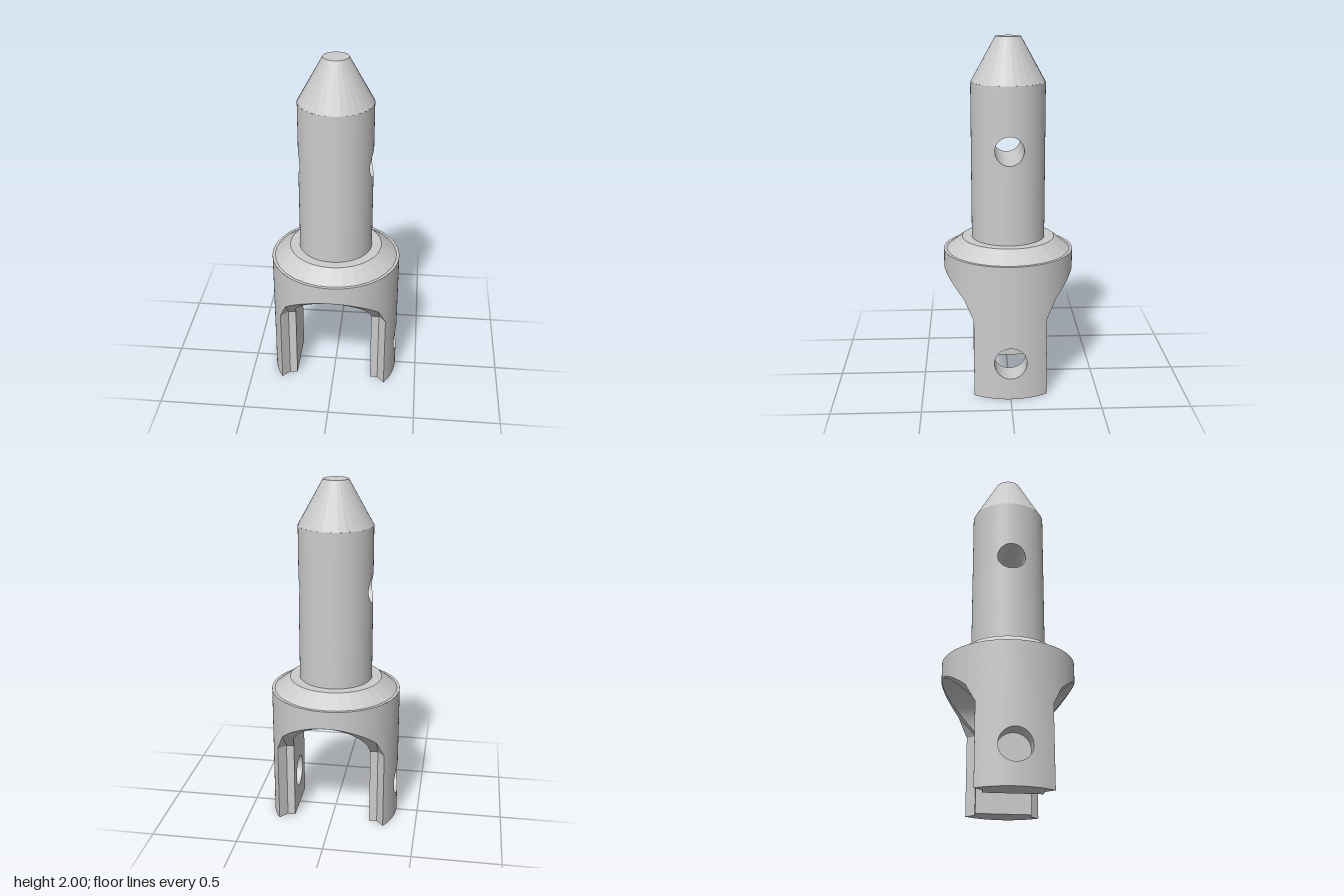
import * as THREE from 'three';
import { toCreasedNormals } from 'three/addons/utils/BufferGeometryUtils.js';

const R = 0.373, BODY_TOP = 0.79;            // fork body
const SLOT = 0.225, SPRING = 0.46;           // arched slot half width, arch start
const POCKET_Z = 0.157, FOLD = 0.27, EDGE = 0.311; // relief pockets beside the slot
const PIN = { y: 0.217, r: 0.092 };
const SHAFT_R = 0.21, SHAFT_LOW = 0.86, SHAFT_TOP = 1.75;
const CROSS = { y: 1.395, r: 0.081 };

const mix = (a, b, t) => a + (b - a) * t;
const round = (radius, v) => Math.sqrt(Math.max(0, radius * radius - v * v));
const archY = (x) => (x < SLOT ? SPRING + round(SLOT, x) : SPRING);
const pocketZ = (x, y) =>
  POCKET_Z + 0.95 * Math.max(0, y - SPRING) + 1.2 * Math.max(0, x - FOLD);
// Height at which the pocket breaks out through the round wall
const rimY = (x) =>
  Math.max(archY(x), SPRING + (round(R, x) - pocketZ(x, 0)) / 0.95);

// Collects ruled strips described for the +x +z quarter, mirrored to all four
function quarters(build) {
  const pos = [];
  for (const sx of [1, -1]) for (const sz of [1, -1]) {
    const put = (...pts) => pts.forEach((p) => pos.push(p[0] * sx, p[1], p[2] * sz));
    const strip = (n, a, b) => {
      for (let i = 0; i < n; i++) {
        const a0 = a(i / n), a1 = a((i + 1) / n), b0 = b(i / n), b1 = b((i + 1) / n);
        if (sx * sz > 0) put(a0, a1, b1, a0, b1, b0);
        else put(a0, b1, a1, a0, b0, b1);
      }
    };
    build(strip, sx);
  }
  const g = new THREE.BufferGeometry();
  g.setAttribute('position', new THREE.Float32BufferAttribute(pos, 3));
  return toCreasedNormals(g, 0.45);
}

// Upright wall with a half hole at z = 0; at(z) gives x
function piercedWall(strip, at, low, high, hole) {
  const z = (t) => hole.r * Math.cos(t * Math.PI / 2);
  const h = (t) => hole.r * Math.sin(t * Math.PI / 2);
  const p = (t, y) => [at(z(t)), y, z(t)];
  return {
    below: (t) => p(t, low), holeLow: (t) => p(t, hole.y - h(t)),
    holeHigh: (t) => p(t, hole.y + h(t)), above: (t) => p(t, high),
  };
}

// Round wall from angle start to the x axis, with a hole facing x
function roundWall(strip, radius, start, low, high, hole) {
  const end = Math.acos(hole.r / radius);
  const p = (t, y) => {
    const a = mix(start, end, t);
    return [radius * Math.sin(a), y, radius * Math.cos(a)];
  };
  strip(16, (t) => p(t, low), (t) => p(t, high));
  const w = piercedWall(strip, (z) => round(radius, z), low, high, hole);
  strip(12, w.below, w.holeLow);
  strip(12, w.holeHigh, w.above);
}

// Inside of a cross hole from x = from out to the round wall
function bore(strip, radius, hole, from) {
  const p = (t, x) => {
    const a = (t - 0.5) * Math.PI, z = hole.r * Math.cos(a);
    return [x ?? round(radius, z), hole.y + hole.r * Math.sin(a), z];
  };
  strip(24, (t) => p(t, from), (t) => p(t));
}

function buildFork(strip, sx) {
  // Round outside above the slot and pocket rim, then the arm
  [[0, 0.1], [0.1, SLOT], [SLOT, FOLD], [FOLD, EDGE]].forEach(([x0, x1]) => {
    const p = (t, y) => { const x = mix(x0, x1, t); return [x, y(x), round(R, x)]; };
    strip(8, (t) => p(t, rimY), (t) => p(t, () => BODY_TOP));
  });
  roundWall(strip, R, Math.asin(EDGE / R), 0, BODY_TOP, PIN);

  // Arch of the slot
  const arch = (t, outer) => {
    const a = (1 - t) * Math.PI / 2;
    const x = SLOT * Math.cos(a), y = SPRING + SLOT * Math.sin(a);
    return [x, y, outer ? Math.min(round(R, x), pocketZ(x, y)) : 0];
  };
  strip(24, (t) => arch(t, false), (t) => arch(t, true));

  // Flat inner face of the arm; only one arm is drilled right through
  const through = sx > 0;
  const innerFrom = through ? PIN.r : 0;
  const flat = (t, y) => [SLOT, y, mix(innerFrom, POCKET_Z, t)];
  strip(1, (t) => flat(t, 0), (t) => flat(t, SPRING));
  if (through) {
    const w = piercedWall(strip, () => SLOT, 0, SPRING, PIN);
    // This wall runs from the hole side to the centre, so its order is reversed
    strip(12, w.holeLow, w.below);
    strip(12, w.above, w.holeHigh);
  }
  const depth = through ? SLOT : 0.265;
  bore(strip, R, PIN, depth);
  if (!through) {
    const disc = (t, k) => {
      const a = (t - 0.5) * Math.PI;
      return [depth, PIN.y + PIN.r * Math.sin(a), k * PIN.r * Math.cos(a)];
    };
    strip(24, (t) => disc(t, 0), (t) => disc(t, 1));
  }

  // Relief pocket: upright facets, sloping facets above, and the arm's foot
  const facet = (x, y) => [x, y, pocketZ(x, y)];
  [[SLOT, FOLD], [FOLD, EDGE]].forEach(([x0, x1]) => {
    const x = (t) => mix(x0, x1, t);
    strip(1, (t) => facet(x(t), 0), (t) => facet(x(t), SPRING));
    strip(8, (t) => facet(x(t), SPRING), (t) => facet(x(t), rimY(x(t))));
    strip(1, (t) => [x(t), 0, 0], (t) => facet(x(t), 0));
  });
  const px = (t) => mix(0.08, SLOT, t);
  strip(16, (t) => {
    const y = archY(px(t));
    return [px(t), y, Math.min(round(R, px(t)), pocketZ(px(t), y))];
  }, (t) => [px(t), rimY(px(t)), Math.min(round(R, px(t)), pocketZ(px(t), rimY(px(t))))]);
  const fx = (t) => mix(EDGE, R, Math.sin(t * Math.PI / 2));
  strip(16, (t) => [fx(t), 0, 0], (t) => [fx(t), 0, round(R, fx(t))]);
}

function buildShaft(strip) {
  roundWall(strip, SHAFT_R, 0, SHAFT_LOW, SHAFT_TOP, CROSS);
  bore(strip, SHAFT_R, CROSS, 0);
}

export function createModel() {
  const group = new THREE.Group();
  const add = (name, geometry, flatShading = false) => {
    const material = new THREE.MeshStandardMaterial({
      color: 0xcccccc, flatShading, side: THREE.DoubleSide,
    });
    const mesh = new THREE.Mesh(geometry, material);
    mesh.name = name;
    group.add(mesh);
  };
  const lathe = (pts, n) =>
    new THREE.LatheGeometry(pts.map(([x, y]) => new THREE.Vector2(x, y)), n);

  add('fork', quarters(buildFork));
  add('ledge', lathe([[R, BODY_TOP], [0.35, BODY_TOP]], 96), true);
  add('collar', lathe([[0.357, BODY_TOP], [0.267, SHAFT_LOW], [0.2, SHAFT_LOW]], 30), true);
  add('shaft', quarters(buildShaft));
  add('taperedTip', lathe([[SHAFT_R, SHAFT_TOP], [0.071, 2], [0, 2]], 30), true);
  return group;
}
